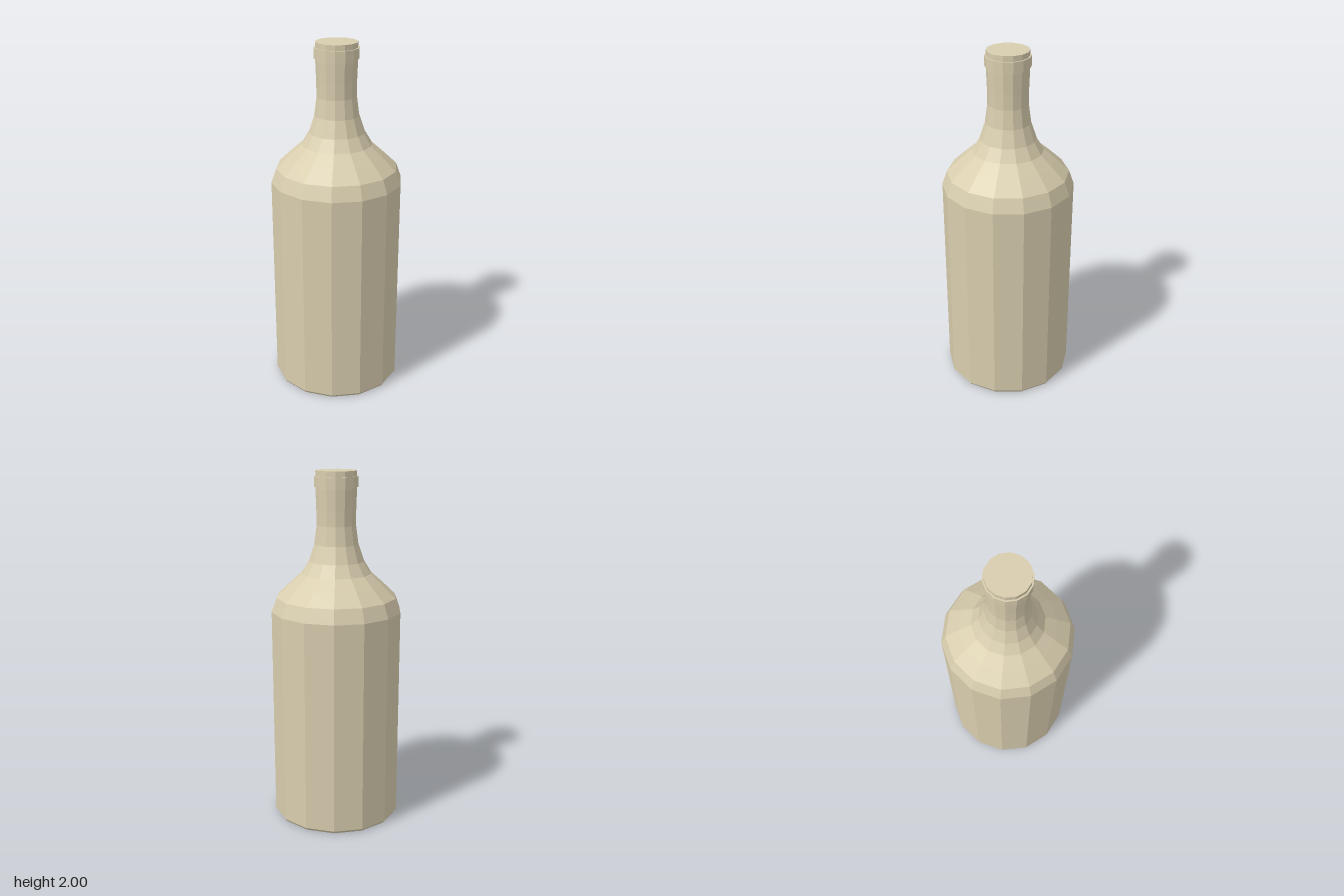
import * as THREE from 'three';

const SIDES = 14;

export function createModel() {
  const model = new THREE.Group();
  model.name = 'bottle';
  const material = new THREE.MeshStandardMaterial({ color: 0xd8cdae, flatShading: true });

  // Turns a [radius, height] profile, listed from bottom to top, into a faceted part
  const turn = (name, profile) => {
    const points = profile.map(([r, y]) => new THREE.Vector2(r, y));
    const mesh = new THREE.Mesh(new THREE.LatheGeometry(points, SIDES), material);
    mesh.name = name;
    model.add(mesh);
  };

  // Base and straight body
  turn('body', [[0, 0], [0.36, 0], [0.37, 0.015], [0.37, 1.225]]);

  // Rounded shoulder sweeping up into the neck
  turn('shoulder', [
    [0.37, 1.225], [0.341, 1.305], [0.265, 1.377], [0.198, 1.437],
    [0.157, 1.505], [0.125, 1.6], [0.111, 1.705],
  ]);

  // Neck, flaring slightly to the closed mouth
  turn('neck', [[0.111, 1.705], [0.112, 1.79], [0.116, 1.9], [0.116, 2], [0, 2]]);

  // Raised band below the mouth
  turn('lipRing', [[0.114, 1.913], [0.124, 1.913], [0.124, 1.97], [0.114, 1.97]]);

  return model;
}
